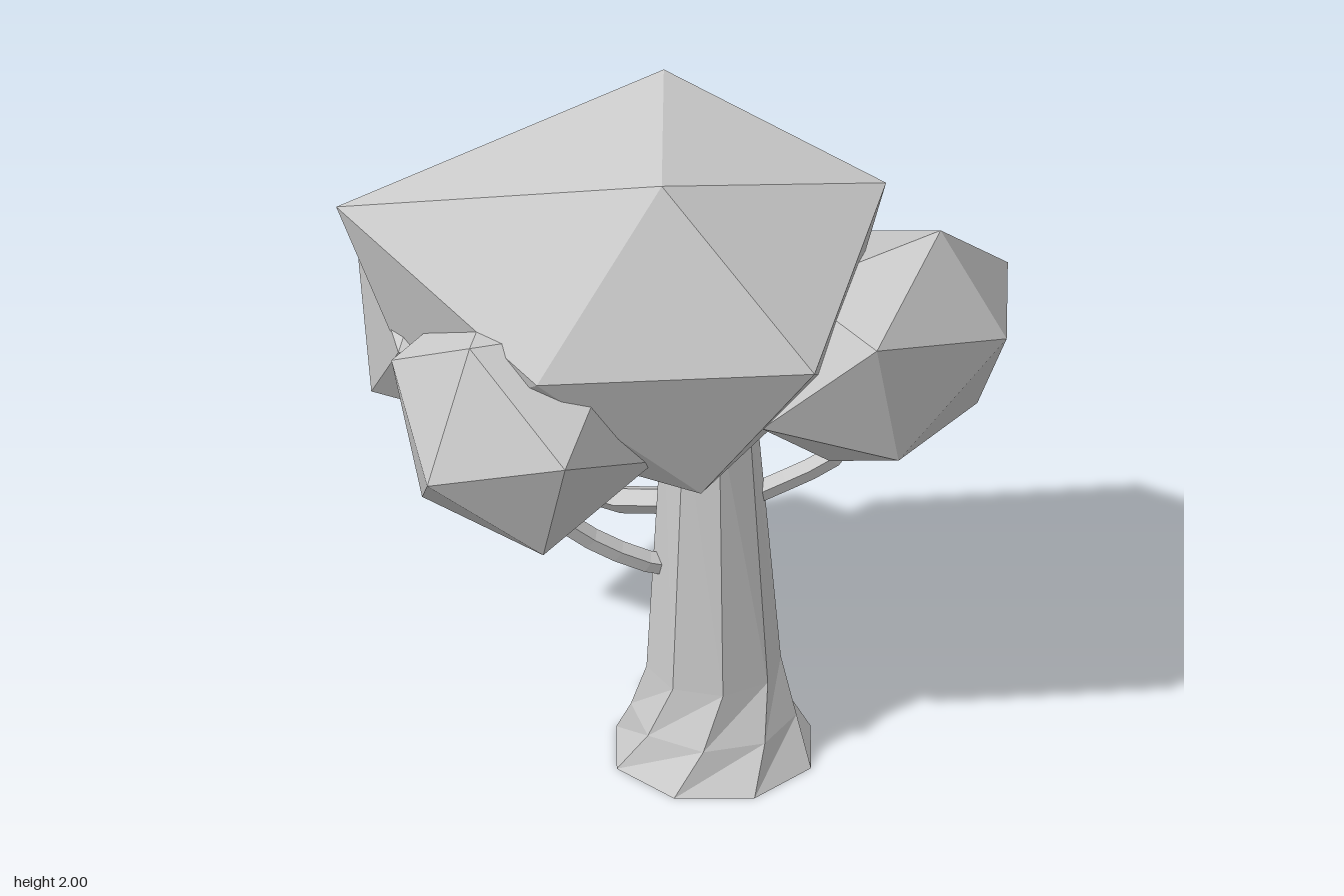
import * as THREE from 'three';

const material = new THREE.MeshStandardMaterial({ color: 0xcccccc, flatShading: true });

function mesh(name, geometry) {
  geometry.computeVertexNormals();
  const m = new THREE.Mesh(geometry, material);
  m.name = name;
  return m;
}

function polyhedron(points, faces) {
  const g = new THREE.BufferGeometry();
  g.setAttribute('position', new THREE.Float32BufferAttribute(points.flat(), 3));
  g.setIndex(faces.flat());
  return g.toNonIndexed();
}

// Distorted icosahedron: an apex, a ring of five counter-clockwise around it,
// then the five points opposite that ring and the point opposite the apex
function leafClump(name, upper, lower) {
  const faces = [];
  for (let i = 0; i < 5; i++) {
    const ring = (k) => 1 + ((i + k) % 5);
    const low = (k) => 7 + ((i + k) % 5);
    faces.push([0, ring(0), ring(1)], [ring(1), ring(0), low(3)],
      [low(0), low(1), ring(3)], [6, low(1), low(0)]);
  }
  return mesh(name, polyhedron([...upper, ...lower], faces));
}

// Clump that is point-symmetric about its centre
function symmetricClump(name, centre, upper) {
  return leafClump(name, upper, upper.map((p) => p.map((v, i) => 2 * centre[i] - v)));
}

// Octagonal trunk lofted through twisted rings: [y, radius, twist in degrees, centre z]
function trunkGeometry() {
  const rings = [[0, 0.29, 35, -0.06], [0.125, 0.23, 20, -0.06], [0.28, 0.187, 5, -0.06], [1.15, 0.13, 45, -0.035]];
  const n = 8, points = [], faces = [];
  for (const [y, r, twist, z] of rings) {
    for (let k = 0; k < n; k++) {
      const a = THREE.MathUtils.degToRad(twist + k * 360 / n);
      points.push([0.168 + r * Math.cos(a), y, z + r * Math.sin(a)]);
    }
  }
  const bottom = points.push([0.168, 0, -0.06]) - 1;
  const top = points.push([0.168, 1.15, -0.035]) - 1;
  const last = (rings.length - 1) * n;
  for (let k = 0; k < n; k++) {
    const j = (k + 1) % n;
    for (let b = 0; b < last; b += n) {
      faces.push([b + j, b + k, b + n + k], [b + j, b + n + k, b + n + j]);
    }
    faces.push([bottom, k, j], [top, last + j, last + k]);
  }
  return polyhedron(points, faces);
}

// Five-sided bent branch
function branch(name, radius, path) {
  const curve = new THREE.CatmullRomCurve3(path.map((p) => new THREE.Vector3(...p)));
  return mesh(name, new THREE.TubeGeometry(curve, 6, radius, 5).toNonIndexed());
}

export function createModel() {
  const tree = new THREE.Group();
  tree.name = 'tree';

  tree.add(mesh('trunk', trunkGeometry()));

  // Branches reaching into the side clumps
  tree.add(
    branch('rightBranch', 0.04, [[0.12, 0.79, -0.06], [-0.06, 0.73, -0.06], [-0.22, 0.7, -0.05], [-0.45, 0.79, -0.06], [-0.52, 0.97, -0.02]]),
    branch('leftBranch', 0.032, [[0.22, 0.8, -0.1], [0.33, 0.86, -0.19], [0.44, 0.94, -0.26], [0.49, 1.06, -0.29]]),
    branch('frontBranch', 0.032, [[0.1, 0.61, 0.02], [0.03, 0.65, 0.1], [-0.1, 0.78, 0.24], [-0.17, 0.95, 0.36]]),
  );

  // Main canopy, pulled out to one side and narrowed below
  tree.add(leafClump('mainCanopy',
    [[0.2, 2, 0.26], [-0.12, 2, -0.26], [-0.76, 1.7, 0.42], [0, 1.46, 0.59], [0.66, 1.51, 0.2], [0.56, 1.82, -0.33]],
    [[-0.16, 1.02, -0.17], [0.29, 1, 0.2], [0.42, 1.19, -0.25], [0.14, 1.51, -0.65], [-0.54, 1.45, -0.24], [-0.54, 1.03, 0.3]]));

  // Smaller clumps around it
  tree.add(
    symmetricClump('frontClump', [-0.175, 1.21, 0.38],
      [[-0.25, 1.14, 0.76], [-0.2, 1.53, 0.62], [-0.53, 1.32, 0.5], [-0.43, 0.91, 0.5], [-0.01, 0.88, 0.54], [0.13, 1.26, 0.65]]),
    symmetricClump('leftClump', [0.575, 1.312, -0.3],
      [[0.89, 1.37, -0.43], [0.75, 1.52, 0.02], [0.745, 1.1, -0.1], [0.7, 1.02, -0.58], [0.68, 1.37, -0.77], [0.7, 1.68, -0.39]]),
    symmetricClump('rightClump', [-0.55, 1.22, 0.03],
      [[-0.855, 1.16, -0.14], [-0.89, 1.47, 0.12], [-0.73, 1.395, -0.2], [-0.53, 1.16, -0.34], [-0.5, 0.85, -0.04], [-0.79, 0.97, 0.19]]),
  );

  return tree;
}
